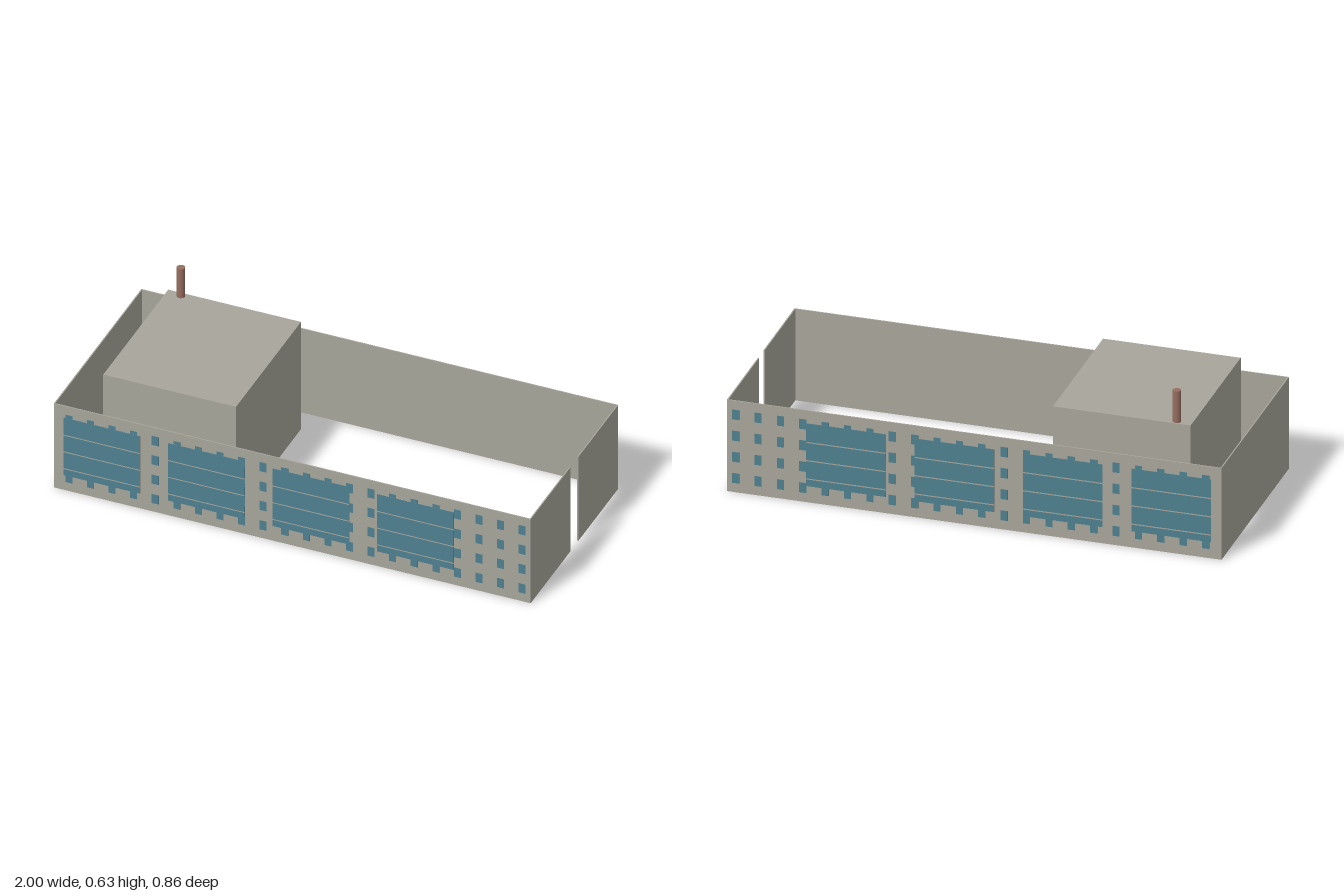
import * as THREE from 'three';

export function createModel() {
  const model = new THREE.Group();
  model.name = 'factoryBuilding';
  const mat = (name, color) => {
    const m = new THREE.MeshStandardMaterial({ color });
    m.name = name;
    return m;
  };
  const concrete = mat('concrete', 0xa8a69b);
  const glass = mat('blueGlass', 0x4f8090);
  const brick = mat('brick', 0x966e60);

  // Box given by its minimum and maximum corners
  const box = (parent, name, material, [x0, y0, z0], [x1, y1, z1]) => {
    const mesh = new THREE.Mesh(new THREE.BoxGeometry(x1 - x0, y1 - y0, z1 - z0), material);
    mesh.position.set((x0 + x1) / 2, (y0 + y1) / 2, (z0 + z1) / 2);
    mesh.name = name;
    parent.add(mesh);
    return mesh;
  };

  const H = 0.391, OUT = 0.426, IN = 0.421, GATE = 0.038;

  // End walls: closed on one side, with a gate gap on the other
  box(model, 'closedEndWall', concrete, [-1, 0, -IN], [-0.995, H, IN]);
  box(model, 'gateWallFront', concrete, [0.995, 0, GATE], [1, H, IN]);
  box(model, 'gateWallBack', concrete, [0.995, 0, -IN], [1, H, -GATE]);

  // Long walls with windows, the same on front and back
  for (const side of [1, -1]) {
    const facade = new THREE.Group();
    facade.name = side > 0 ? 'frontFacade' : 'backFacade';
    model.add(facade);
    const slab = (name, material, x0, y0, x1, y1, a, b) =>
      box(facade, name, material, [x0, y0, Math.min(a * side, b * side)], [x1, y1, Math.max(a * side, b * side)]);

    slab('longWall', concrete, -1, 0, 1, H, IN, OUT);

    // Grid of small windows
    for (let col = 0; col < 22; col++) {
      for (let row = 0; row < 4; row++) {
        const x = -0.936 + col * 0.0905, y = 0.06 + row * 0.0905;
        slab('smallWindow', glass, x - 0.0145, y - 0.021, x + 0.0145, y + 0.021, OUT - 0.002, OUT + 0.0015);
      }
    }

    // Large glazed bays split into horizontal strips
    const strips = [[0.07, 0.098], [0.103, 0.176], [0.181, 0.254], [0.259, 0.337]];
    for (let bay = 0; bay < 4; bay++) {
      const x = -0.958 + bay * 0.4385;
      slab('bayBacking', concrete, x, 0.07, x + 0.321, 0.337, OUT - 0.002, OUT + 0.002);
      for (const [y0, y1] of strips)
        slab('bayGlazing', glass, x, y0, x + 0.321, y1, OUT - 0.002, OUT + 0.0028);
    }
  }

  // Tall inner block
  box(model, 'innerBlock', concrete, [-0.84, 0, -0.316], [-0.283, 0.5, 0.316]);

  // Chimney on the block roof
  const chimney = new THREE.Mesh(new THREE.CylinderGeometry(0.0165, 0.0165, 0.143, 24), brick);
  chimney.position.set(-0.778, 0.5625, -0.296);
  chimney.name = 'chimney';
  model.add(chimney);

  return model;
}
